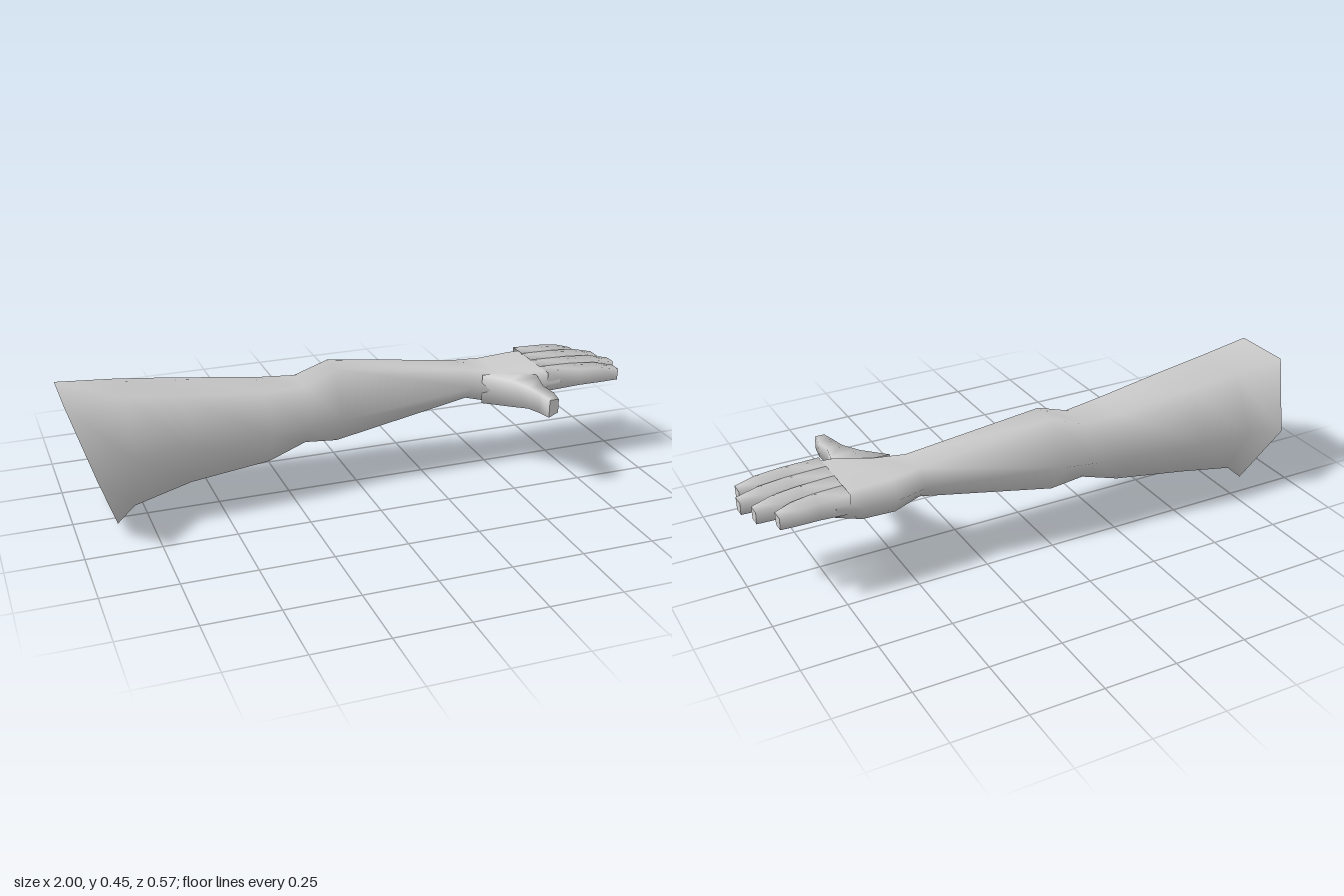
import * as THREE from 'three';

const material = new THREE.MeshStandardMaterial({ color: 0xcccccc, side: THREE.DoubleSide });

// Skin a surface over rings of points (clockwise seen from the tip); the tip is closed.
function loft(name, rings) {
  const n = rings[0].length;
  const pos = rings.flat(2);
  const index = [];
  for (let i = 0; i < rings.length - 1; i++) {
    for (let j = 0; j < n; j++) {
      const a = i * n + j, b = i * n + (j + 1) % n;
      index.push(a, a + n, b, b, a + n, b + n);
    }
  }
  // tip cap with its own vertices, so its rim stays crisp
  const last = rings[rings.length - 1];
  const start = pos.length / 3;
  pos.push(...last.flat());
  for (let j = 1; j < n - 1; j++) index.push(start, start + j + 1, start + j);
  const geometry = new THREE.BufferGeometry();
  geometry.setAttribute('position', new THREE.Float32BufferAttribute(pos, 3));
  geometry.setIndex(index);
  geometry.computeVertexNormals();
  const mesh = new THREE.Mesh(geometry, material);
  mesh.name = name;
  return mesh;
}

// Six-sided section: z, y of front top, back top, back, back bottom, front bottom, front.
function section(x, zy, slant = 0) {
  const ring = [];
  for (let k = 0; k < zy.length; k += 2) ring.push([x + slant * (0.45 - zy[k + 1]), zy[k + 1], zy[k]]);
  return ring;
}

function armAndPalm() {
  return loft('armAndPalm', [
    // flared, open shoulder end
    section(-1.0, [0.06, 0.45, -0.16, 0.45, -0.287, 0.23, -0.165, 0, 0.13, 0.045, 0.24, 0.26], 0.32),
    section(-0.8, [0.03, 0.437, -0.16, 0.435, -0.265, 0.24, -0.16, 0.05, 0.06, 0.065, 0.105, 0.25]),
    // upper arm
    section(-0.6, [0.02, 0.413, -0.16, 0.413, -0.273, 0.25, -0.155, 0.085, 0.03, 0.105, 0.092, 0.25]),
    section(-0.32, [0.0, 0.38, -0.15, 0.38, -0.247, 0.26, -0.145, 0.125, 0.01, 0.13, 0.07, 0.25]),
    // elbow
    section(-0.18, [-0.02, 0.373, -0.14, 0.373, -0.233, 0.265, -0.14, 0.167, -0.02, 0.167, 0.045, 0.25]),
    section(-0.06, [-0.035, 0.417, -0.135, 0.417, -0.233, 0.28, -0.135, 0.15, -0.035, 0.15, 0.03, 0.25]),
    // wrist
    section(0.43, [-0.02, 0.355, -0.13, 0.355, -0.17, 0.3, -0.12, 0.245, -0.03, 0.245, 0.02, 0.3]),
    // palm
    section(0.53, [0.02, 0.347, -0.14, 0.347, -0.185, 0.29, -0.15, 0.232, 0.01, 0.23, 0.06, 0.285]),
    section(0.65, [0.07, 0.352, -0.15, 0.35, -0.188, 0.295, -0.165, 0.245, 0.06, 0.25, 0.1, 0.31]),
    section(0.74, [0.08, 0.352, -0.16, 0.347, -0.184, 0.31, -0.165, 0.275, 0.075, 0.28, 0.1, 0.315]),
  ]);
}

// Four-cornered finger, slightly narrower underneath and towards the tip.
function finger(name, baseZ, tipZ, tipX) {
  const steps = [[0, 0.353, 0.282, 0.036], [0.45, 0.35, 0.288, 0.034], [0.75, 0.344, 0.287, 0.03], [1, 0.328, 0.286, 0.023]];
  return loft(name, steps.map(([t, top, bottom, half]) => {
    const x = THREE.MathUtils.lerp(0.69, tipX, t);
    const z = THREE.MathUtils.lerp(baseZ, tipZ, t);
    const low = half * 0.85;
    return [[x, top, z + half], [x, top, z - half], [x, bottom, z - low], [x, bottom, z + low]];
  }));
}

// Thumb sections: z, x and y range
function thumb() {
  const steps = [[0.02, 0.47, 0.66, 0.238, 0.345], [0.1, 0.545, 0.65, 0.245, 0.343],
    [0.17, 0.58, 0.635, 0.26, 0.338], [0.23, 0.592, 0.643, 0.266, 0.336], [0.283, 0.602, 0.636, 0.268, 0.332]];
  return loft('thumb', steps.map(([z, x0, x1, y0, y1]) =>
    [[x0, y1, z], [x1, y1, z], [x1, y0 + 0.015, z], [x0, y0, z]]));
}

export function createModel() {
  const group = new THREE.Group();
  group.name = 'arm';
  group.add(
    armAndPalm(),
    thumb(),
    finger('indexFinger', 0.062, 0.067, 0.98),
    finger('middleFinger', -0.006, -0.006, 1.0),
    finger('ringFinger', -0.077, -0.084, 0.975),
    finger('littleFinger', -0.147, -0.152, 0.922),
  );
  return group;
}
